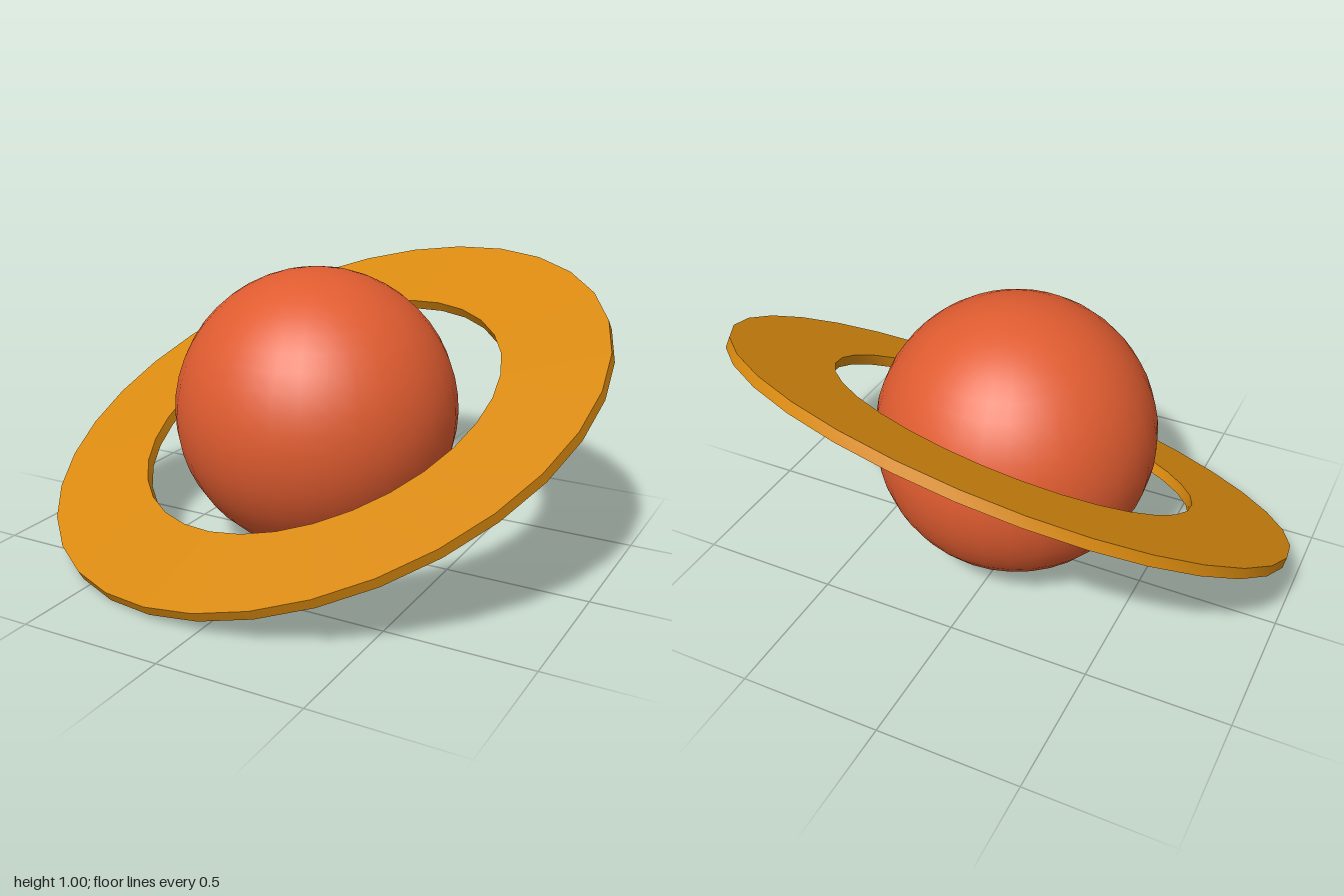
import * as THREE from 'three';
import { toCreasedNormals } from 'three/addons/utils/BufferGeometryUtils.js';

export function createModel() {
  const model = new THREE.Group();
  model.name = 'ringedPlanet';

  const planetRed = new THREE.MeshStandardMaterial({ color: 0xe05c30 });
  planetRed.name = 'planet red';
  const ringGold = new THREE.MeshStandardMaterial({ color: 0xd8890f });
  ringGold.name = 'ring gold';

  // Planet: smooth ball
  const planet = new THREE.Mesh(new THREE.SphereGeometry(0.492, 32, 24), planetRed);
  planet.name = 'planet';
  planet.position.set(-0.007, 0.508, 0.007);
  model.add(planet);

  // Ring: flat band of unit outer radius, turned from a rectangular section
  const inner = 0.645, half = 0.019;
  const section = [[inner, -half], [1, -half], [1, half], [inner, half], [inner, -half]]
    .map(([r, y]) => new THREE.Vector2(r, y));
  const band = new THREE.LatheGeometry(section, 32);

  // Tilt it up to the left and back, and make it slightly oval
  const across = new THREE.Vector3(0.996, 0.212, 0);
  const forward = new THREE.Vector3(0.01, -0.424, 0.81);
  const normal = new THREE.Vector3().crossVectors(forward, across).normalize();
  band.applyMatrix4(new THREE.Matrix4().makeBasis(across, normal, forward));

  const ring = new THREE.Mesh(toCreasedNormals(band, 0.6), ringGold);
  ring.name = 'ring';
  ring.position.y = 0.49;
  model.add(ring);

  return model;
}
